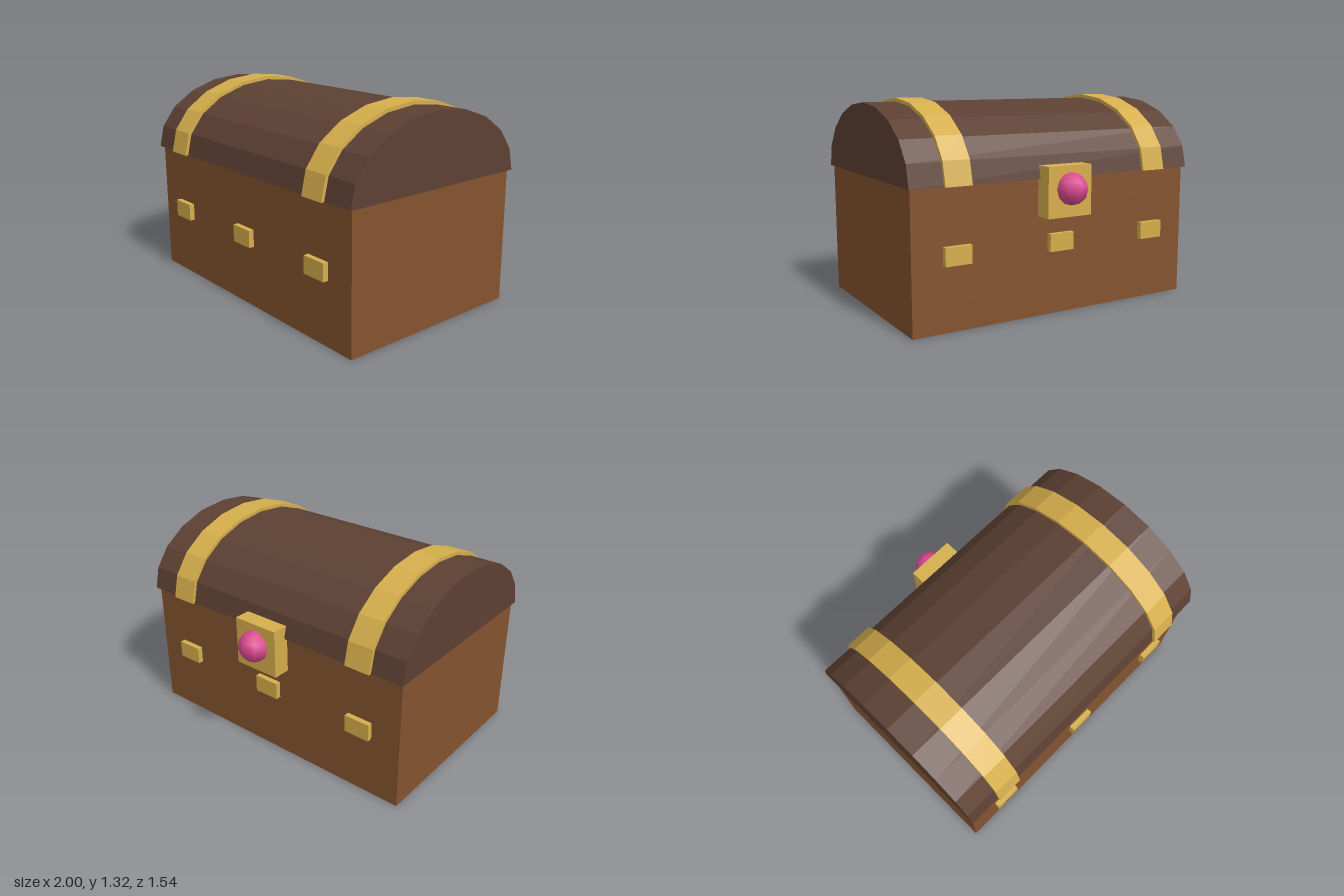
import * as THREE from 'three';

const mat = (name, color) => {
  const m = new THREE.MeshStandardMaterial({ color });
  m.name = name;
  return m;
};

const ARCH_Z = 0.09, ARCH_Y = 0.85, SEGMENTS = 10;

// Points of a faceted half-ellipse, front to back
function archPoints(a, b) {
  return Array.from({ length: SEGMENTS + 1 }, (_, i) => {
    const t = (i / SEGMENTS) * Math.PI;
    return new THREE.Vector2(ARCH_Z + a * Math.cos(t), ARCH_Y + b * Math.sin(t));
  });
}

// Extrudes a (z, y) outline along x, centred on x = 0
function extrudeAlongX(points, width) {
  const geo = new THREE.ExtrudeGeometry(new THREE.Shape(points), { depth: width, bevelEnabled: false });
  geo.translate(0, 0, -width / 2);
  geo.rotateY(-Math.PI / 2);
  return geo;
}

export function createModel() {
  const chest = new THREE.Group();
  chest.name = 'treasureChest';
  const wood = mat('body wood', 0x84532f);
  const darkWood = mat('lid wood', 0x5d4033);
  const gold = mat('gold', 0xd5ae4c);
  const pink = mat('pink gem', 0xdc4a90);

  const add = (name, geo, material, x = 0, y = 0, z = 0) => {
    const mesh = new THREE.Mesh(geo, material);
    mesh.name = name;
    mesh.position.set(x, y, z);
    chest.add(mesh);
  };

  // Box body and overhanging domed lid
  add('body', new THREE.BoxGeometry(1.97, 0.85, 1.27), wood, 0, 0.425, 0.09);
  add('lid', extrudeAlongX(archPoints(0.66, 0.447), 2), darkWood);

  // Gold straps over the lid
  const strap = extrudeAlongX([...archPoints(0.68, 0.47), ...archPoints(0.655, 0.442).reverse()], 0.17);
  for (const x of [-0.705, 0.705]) add('lidStrap', strap, gold, x);

  // Studs on the front and back of the body
  const stud = new THREE.BoxGeometry(0.17, 0.11, 0.07);
  for (const x of [-0.705, 0, 0.705]) {
    add('frontStud', stud, gold, x, 0.453, 0.724);
    add('backStud', stud, gold, x, 0.453, -0.544);
  }

  // Lock plate with a round gem
  add('lockPlate', new THREE.BoxGeometry(0.31, 0.31, 0.12), gold, 0, 0.775, -0.597);
  add('lockGem', new THREE.SphereGeometry(0.1, 8, 6), pink, 0, 0.792, -0.67);

  return chest;
}
